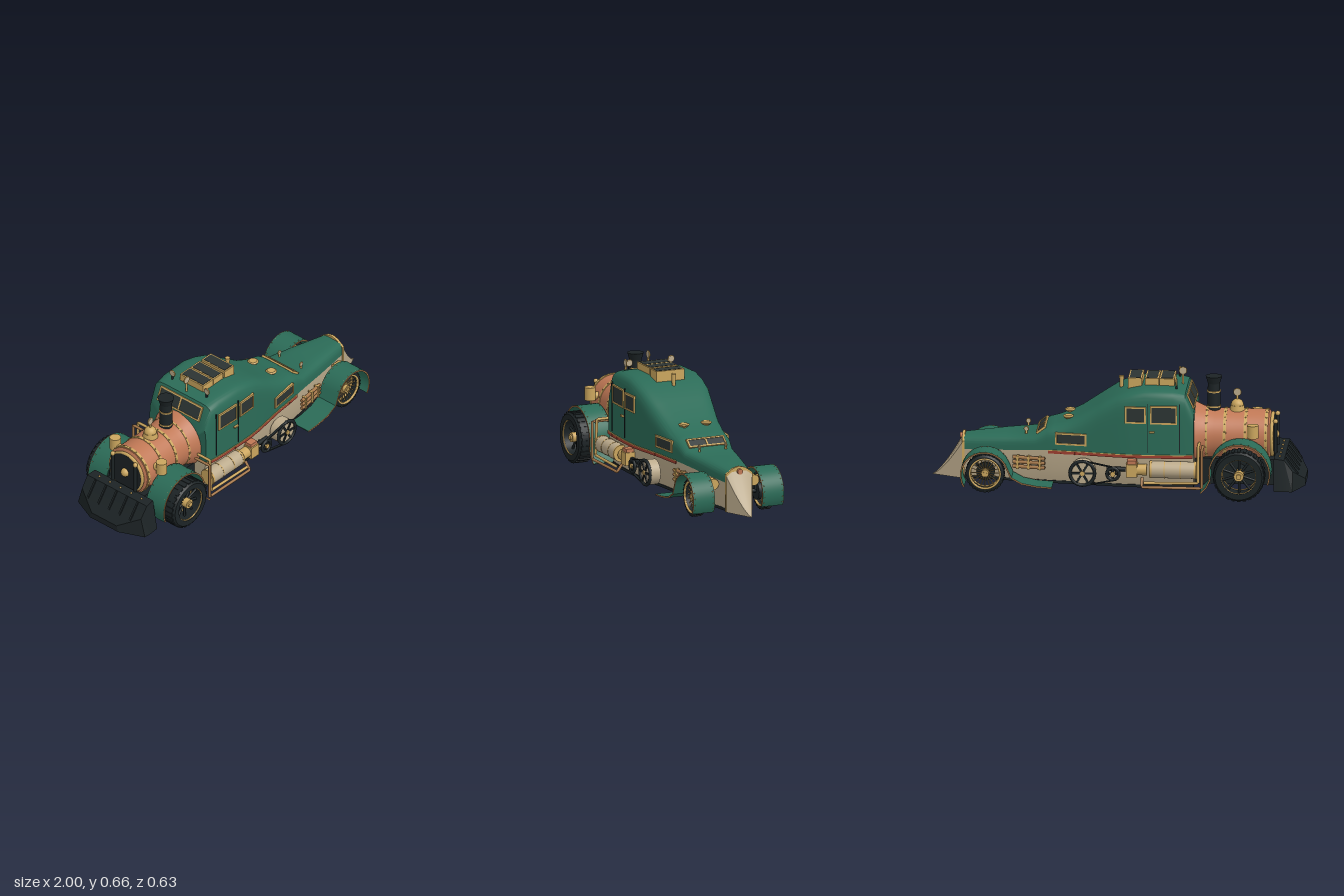
import * as THREE from 'three';
import { toCreasedNormals } from 'three/addons/utils/BufferGeometryUtils.js';

const mat = (name, color, side = THREE.FrontSide) => Object.assign(new THREE.MeshStandardMaterial({ color, side }), { name });
const green = mat('green paint', 0x2b6b57, THREE.DoubleSide), cream = mat('cream panel', 0xbcab8c, THREE.DoubleSide);
const gold = mat('brass', 0xcba65e), copper = mat('copper', 0xc07855), bronze = mat('bronze', 0xa5774a), dark = mat('dark iron', 0x1c2325);
const glass = mat('dark glass', 0x2c3433), red = mat('red trim', 0xa03f30);
const PI = Math.PI, AX = [0, 0, PI / 2], AZ = [PI / 2, 0, 0];

const box = (x, y, z) => new THREE.BoxGeometry(x, y, z);
const cyl = (r, h, r2 = r, n = 24) => new THREE.CylinderGeometry(r2, r, h, n);
const ball = (r, n = 16) => new THREE.SphereGeometry(r, n, n / 2 + 1);
const ring = (r, t) => new THREE.TorusGeometry(r, t, 8, 32);

// Skin through rings running from +z over the top to -z, with flat end caps
function loft(rings, crease = 0.6) {
  const pos = [], idx = [], m = rings[0].length;
  rings.forEach((r) => r.forEach((p) => pos.push(...p)));
  for (let i = 0; i < rings.length - 1; i++) for (let j = 0; j < m - 1; j++) {
    const a = i * m + j, b = a + m;
    idx.push(a, b, a + 1, b, b + 1, a + 1);
  }
  [rings[0], rings[rings.length - 1]].forEach((r, e) => {
    const o = pos.length / 3;
    pos.push(...r[0].map((v, k) => (v + r[m - 1][k]) / 2));
    r.forEach((p) => pos.push(...p));
    for (let j = 1; j < m; j++) e ? idx.push(o, o + j + 1, o + j) : idx.push(o, o + j, o + j + 1);
  });
  const g = new THREE.BufferGeometry();
  g.setAttribute('position', new THREE.Float32BufferAttribute(pos, 3));
  g.setIndex(idx);
  return toCreasedNormals(g, crease);
}

// Thin sheet following a side-view path, extruded across z
function sheet(pts, width, t = 0.006) {
  const inner = pts.map(([x, y], i) => {
    const a = pts[Math.max(0, i - 1)], b = pts[Math.min(pts.length - 1, i + 1)];
    const dx = b[0] - a[0], dy = b[1] - a[1], l = Math.hypot(dx, dy);
    return [x - dy / l * t, y + dx / l * t];
  });
  const s = new THREE.Shape([...pts, ...inner.reverse()].map((p) => new THREE.Vector2(...p)));
  return toCreasedNormals(new THREE.ExtrudeGeometry(s, { depth: width, bevelEnabled: false }).translate(0, 0, -width / 2), 0.6);
}
const arc = (cx, cy, r, a0, a1, n = 24) => Array.from({ length: n + 1 }, (_, i) => {
  const a = (a0 + (a1 - a0) * i / n) * PI / 180;
  return [cx + r * Math.cos(a), cy + r * Math.sin(a)];
});

// Body stations: x, roof height, half width, roundness exponent
const ST = [[-0.41, 0.46, 0.2, 0.24], [-0.365, 0.56, 0.208, 0.22], [-0.3, 0.575, 0.213, 0.22], [-0.15, 0.578, 0.216, 0.22],
  [-0.07, 0.561, 0.214, 0.23], [0, 0.538, 0.208, 0.25], [0.1, 0.477, 0.192, 0.32], [0.2, 0.414, 0.176, 0.4], [0.28, 0.375, 0.168, 0.42],
  [0.34, 0.354, 0.161, 0.4], [0.375, 0.345, 0.156, 0.38], [0.44, 0.299, 0.144, 0.42], [0.6, 0.29, 0.118, 0.5], [0.75, 0.276, 0.09, 0.55], [0.825, 0.268, 0.075, 0.55]];
// Paint line between the green and cream panels, dipping towards the nose
const belt = (x) => 0.227 - 0.06 * Math.max(0, x - 0.35);
function at(x, k) {
  let i = 0;
  while (i < ST.length - 2 && x > ST[i + 1][0]) i++;
  const a = ST[i], b = ST[i + 1];
  return a[k] + (b[k] - a[k]) * (x - a[0]) / (b[0] - a[0]);
}

export function createModel() {
  const model = new THREE.Group();
  const add = (name, geo, m, p = [0, 0, 0], r = [0, 0, 0], parent = model) => {
    const o = new THREE.Mesh(geo, m);
    o.name = name; o.position.set(...p); o.rotation.set(...r);
    parent.add(o);
  };
  const group = (name, p, r = [0, 0, 0]) => {
    const g = new THREE.Group();
    g.name = name; g.position.set(...p); g.rotation.set(...r);
    model.add(g);
    return g;
  };
  // Framed window lying in its group's xy plane, with optional mullion
  const windowAt = (name, w, h, p, r, split) => {
    const g = group(name, p, r), t = 0.009;
    add('pane', box(w, h, 0.006), glass, [0, 0, 0], [0, 0, 0], g);
    for (const s of [-1, 1]) {
      add('frameRail', box(w + t, t, 0.012), gold, [0, s * h / 2, 0], [0, 0, 0], g);
      add('framePost', box(t, h, 0.012), gold, [s * w / 2, 0, 0], [0, 0, 0], g);
    }
    if (split) add('mullion', box(t, h, 0.01), gold, [0, 0, 0], [0, 0, 0], g);
  };

  // Bodywork
  add('upperBody', loft(ST.map(([x, top, w, p]) => Array.from({ length: 41 }, (_, j) => {
    const a = PI * j / 40, c = Math.cos(a), y = belt(x);
    return [x, y + (top - y) * Math.pow(Math.max(0, Math.sin(a)), p), w * Math.sign(c) * Math.pow(Math.abs(c), p)];
  })), 0.8), green);
  add('lowerBody', loft(ST.map(([x, , w]) => [[0.84, 0.05], [0.96, 0.12], [0.985, belt(x)], [-0.985, belt(x)], [-0.96, 0.12], [-0.84, 0.05]]
    .map(([k, y]) => [x, y, k * w]))), cream);
  add('underTray', loft(ST.map(([x, , w]) => [[0.87, 0.04], [0.87, 0.055], [-0.87, 0.055], [-0.87, 0.04], [0.87, 0.04]]
    .map(([k, y]) => [x, y, k * w]))), dark);
  add('rearChassis', box(0.44, 0.14, 0.24), dark, [-0.63, 0.12, 0]);

  // Nose wedge and its brass surround
  add('nose', loft(Array.from({ length: 11 }, (_, i) => {
    const t = i / 10, w = 0.075 * (1 - t), h = 0.225 * Math.pow(1 - t, 1.4);
    return [[1, 0], [1, 0.88], [0.6, 0.98], [0, 1], [-0.6, 0.98], [-1, 0.88], [-1, 0], [1, 0]].map(([z, y]) => [0.832 + 0.168 * t, 0.038 + y * h, z * w]);
  }), 0.3), cream);
  const arch = [[0.078, 0.04], [0.078, 0.245], [0.035, 0.275], [0, 0.284], [-0.035, 0.275], [-0.078, 0.245], [-0.078, 0.04], [0.078, 0.04]];
  add('noseSurround', loft([0.82, 0.834].map((x) => arch.map(([z, y]) => [x, y, z]))), gold);
  add('noseBadge', cyl(0.015, 0.02), copper, [0.838, 0.256, 0], AX);

  // Windscreens, leaning back with the bodywork
  windowAt('windscreen', 0.21, 0.05, [0.41, 0.323, 0], [0, 0, 0], true);
  model.children.at(-1).rotation.set(-0.9, PI / 2, 0, 'YXZ');
  windowAt('rearWindow', 0.29, 0.075, [-0.39, 0.508, 0], [0, 0, 0], true);
  model.children.at(-1).rotation.set(-0.42, -PI / 2, 0, 'YXZ');

  // Boiler
  const prof = [[0, 0], [0.11, 0], [0.133, 0.012], [0.135, 0.3], [0.145, 0.36], [0.168, 0.41]].map((p) => new THREE.Vector2(...p));
  add('boiler', toCreasedNormals(new THREE.LatheGeometry(prof, 40), 0.6), copper, [-0.815, 0.298, 0], [0, 0, -PI / 2]);
  add('smokeboxDoor', cyl(0.112, 0.02), dark, [-0.82, 0.298, 0], AX);
  add('doorRing', ring(0.112, 0.01), gold, [-0.82, 0.298, 0], [0, PI / 2, 0]);
  add('doorHub', ball(0.025), gold, [-0.83, 0.298, 0]);
  for (const x of [-0.79, -0.68, -0.57, -0.47]) {
    const r = x > -0.5 ? 0.143 : 0.137;
    add('boilerBand', cyl(r, 0.016, r, 40), gold, [x, 0.298, 0], AX);
    for (let i = 0; i < 20; i++) {
      const a = i * PI / 10;
      add('rivet', ball(0.004, 6), gold, [x, 0.298 + r * Math.cos(a), r * Math.sin(a)]);
    }
  }
  add('chimney', cyl(0.036, 0.17, 0.032), dark, [-0.505, 0.51, 0]);
  add('chimneyFlare', cyl(0.032, 0.04, 0.044), dark, [-0.505, 0.592, 0]);
  for (const y of [0.448, 0.53]) add('chimneyBand', cyl(0.038, 0.008), gold, [-0.505, y, 0]);
  add('steamDome', cyl(0.042, 0.03, 0.036), gold, [-0.63, 0.44, 0]);
  add('steamDomeCap', ball(0.034), gold, [-0.63, 0.455, 0]);
  const gauge = (x, y, z, r, foot, turn, stem = dark) => {
    add('gaugeStem', cyl(0.006, y - foot - r), stem, [x, (y - r + foot) / 2, z]);
    add('gaugeRim', ring(r, 0.004), gold, [x, y, z], [0, turn, 0]);
    add('gaugeFace', cyl(r, 0.009), cream, [x, y, z], turn ? AX : AZ);
  };
  gauge(-0.63, 0.525, 0, 0.018, 0.48, 0, gold);
  gauge(-0.34, 0.637, 0, 0.018, 0.56, 0, gold);

  // Roof skylight boxes and whistle
  for (const [x, w] of [[-0.26, 0.08], [-0.18, 0.075], [-0.09, 0.075]]) {
    add('roofBox', box(w, 0.065, 0.165), gold, [x, 0.581, 0]);
    add('roofBoxPane', box(w - 0.016, 0.006, 0.149), glass, [x, 0.612, 0]);
  }
  add('whistle', cyl(0.009, 0.07, 0.013), gold, [-0.012, 0.568, 0]);

  // Plough
  add('plough', loft([[-1, 0.1, 0.08], [-0.94, 0.238, 0.15], [-0.895, 0.24, 0.212], [-0.84, 0.235, 0.218]].map(([x, z, y]) =>
    [[x, 0.045, z], [x, y, z * 0.88], [x, y, -z * 0.88], [x, 0.045, -z], [x, 0.045, z]]), 0.2), dark);
  for (let i = -2; i <= 2; i++) {
    add('ploughRib', box(0.11, 0.012, 0.01), dark, [-0.93, 0.168, i * 0.075], [0, 0, 0.93]);
    add('ploughBolt', ball(0.006, 8), gold, [-0.868, 0.218, i * 0.075]);
  }

  // Wheel: tyre, treads, rim, spokes and hub
  const wheel = (name, x, y, z, R, W, band, spokes, m, rs, rim) => {
    const g = group(name, [x, y, z]), q = R - band, h = W / 2;
    const pr = [[q, -h], [R - 0.014, -h], [R - 0.003, -h * 0.7], [R - 0.002, h * 0.7], [R - 0.014, h], [q, h], [q, -h]];
    add('tyre', toCreasedNormals(new THREE.LatheGeometry(pr.map((p) => new THREE.Vector2(...p)), 40), 0.5), dark, [0, 0, 0], AZ, g);
    for (let i = 0; i < 28; i++) {
      const a = i * PI / 14;
      add('tread', box(0.006, R * 0.12, W * 0.8), dark, [(R - 0.003) * Math.cos(a), (R - 0.003) * Math.sin(a), 0], [0, 0, a], g);
    }
    for (const s of [-1, 1]) add('rim', ring(q, rim), gold, [0, 0, s * h * 0.85], [0, 0, 0], g);
    for (let i = 0; i < spokes; i++) {
      const a = i * 2 * PI / spokes;
      add('spoke', cyl(rs, q, rs, 8), m, [-Math.sin(a) * q / 2, Math.cos(a) * q / 2, 0], [0, 0, a], g);
    }
    add('hub', cyl(R * 0.19, W * 0.8), gold, [0, 0, 0], AZ, g);
    add('hubCap', cyl(R * 0.1, W), gold, [0, 0, 0], AZ, g);
  };
  add('rearAxle', cyl(0.018, 0.5), dark, [-0.66, 0.143, 0], AZ);
  add('frontAxle', cyl(0.011, 0.36), dark, [0.7, 0.107, 0], AZ);

  const frontFender = [...arc(0.7, 0.107, 0.13, -30, 160), [0.555, 0.1], [0.5, 0.07], [0.42, 0.055], [0.34, 0.05]];
  const rearFender = [[-0.45, 0.04], [-0.48, 0.07], ...arc(-0.66, 0.145, 0.165, -12, 200)];
  const pipe = (pts) => {
    const c = new THREE.CurvePath();
    for (let i = 1; i < pts.length; i++) c.add(new THREE.LineCurve3(new THREE.Vector3(...pts[i - 1]), new THREE.Vector3(...pts[i])));
    return new THREE.TubeGeometry(c, 60, 0.008, 8);
  };

  for (const s of [1, -1]) {
    wheel('rearWheel', -0.66, 0.143, s * 0.27, 0.139, 0.09, 0.045, 10, dark, 0.007, 0.004);
    wheel('frontWheel', 0.7, 0.107, s * 0.2, 0.105, 0.05, 0.024, 20, gold, 0.0025, 0.006);
    add('brakeDrum', cyl(0.05, 0.02), dark, [0.7, 0.107, s * 0.165], AZ);
    // Fenders with bronze edges and brass rivets
    add('frontFender', sheet(frontFender, 0.122), green, [0, 0, s * 0.201]);
    add('rearFender', sheet(rearFender, 0.125), green, [0, 0, s * 0.205]);
    for (const z of [0.141, 0.263]) add('frontFenderEdge', sheet(frontFender, 0.003, 0.008), bronze, [0, 0, s * z]);
    add('rearFenderEdge', sheet(rearFender, 0.003, 0.008), bronze, [0, 0, s * 0.268]);
    for (const [cx, cy, r, z0] of [[0.7, 0.107, 0.13, 0.15], [-0.66, 0.145, 0.165, 0.152]]) for (const z of [z0, z0 + 0.105])
      for (const [x, y] of arc(cx, cy, r, -20, 150, 12)) add('fenderRivet', ball(0.0025, 6), gold, [x, y, s * z]);
    // Front suspension
    add('damper', cyl(0.008, 0.07), dark, [0.75, 0.16, s * 0.132]);
    add('drumLamp', cyl(0.03, 0.05), gold, [0.74, 0.18, s * 0.118], AX);
    // Side windows and door
    for (const [x0, x1, y0, y1] of [[-0.32, -0.185, 0.403, 0.495], [-0.155, -0.05, 0.405, 0.488], [0.165, 0.325, 0.265, 0.322]]) {
      const x = (x0 + x1) / 2, tilt = Math.atan((at(x0, 2) - at(x1, 2)) / (x1 - x0));
      windowAt('sideWindow', x1 - x0, y1 - y0, [x, (y0 + y1) / 2, s * (at(x, 2) + 0.0005)], [0, s * tilt, 0]);
    }
    for (const x of [-0.338, -0.168]) add('doorSeam', box(0.004, 0.27, 0.006), dark, [x, 0.375, s * at(x, 2)]);
    add('doorHandle', box(0.03, 0.008, 0.02), gold, [-0.19, 0.355, s * 0.217]);
    // Belt trim
    for (let i = 0; i < 11; i++) {
      const x = -0.37 + i * 0.07, tilt = s * Math.atan((at(x - 0.035, 2) - at(x + 0.035, 2)) / 0.07), z = s * at(x, 2);
      add('redStripe', box(0.073, 0.015, 0.008), red, [x, 0.217, z], [0, tilt, 0]);
      add('beltMoulding', box(0.073, 0.004, 0.009), gold, [x, 0.2265, z], [0, tilt, 0]);
    }
    // Pressure tank, pump and pipes
    add('tank', cyl(0.045, 0.24), cream, [-0.305, 0.152, s * 0.228], AX);
    for (const [x, w] of [[-0.424, 0.012], [-0.345, 0.005], [-0.26, 0.005], [-0.186, 0.012]]) add('tankBand', cyl(0.0465, w), gold, [x, 0.152, s * 0.228], AX);
    add('pump', cyl(0.03, 0.11), gold, [-0.11, 0.15, s * 0.228], AX);
    add('pumpBody', box(0.06, 0.07, 0.06), gold, [-0.085, 0.15, s * 0.232]);
    add('pumpCap', box(0.05, 0.02, 0.045), copper, [-0.085, 0.194, s * 0.232]);
    add('pumpShaft', cyl(0.012, 0.1), dark, [0, 0.15, s * 0.225], AX);
    add('drainPipe', pipe([[-0.46, 0.27, s * 0.17], [-0.46, 0.27, s * 0.272], [-0.46, 0.065, s * 0.272], [-0.14, 0.065, s * 0.272], [-0.14, 0.11, s * 0.24]]), bronze);
    add('feedPipe', pipe([[-0.44, 0.285, s * 0.17], [-0.44, 0.285, s * 0.255], [-0.44, 0.09, s * 0.262], [-0.15, 0.085, s * 0.262]]), gold);
    // Belt drive
    add('flywheelDrum', cyl(0.068, 0.06, 0.068, 32), cream, [0.178, 0.13, s * 0.222], AZ);
    for (const [x, r, n] of [[0.178, 0.066, 6], [0.015, 0.032, 4]]) {
      add('pulleyRim', ring(r, 0.009), dark, [x, 0.13, s * 0.253]);
      for (let i = 0; i < n / 2; i++) add('pulleySpoke', box(2 * r, 0.011, 0.01), dark, [x, 0.13, s * 0.253], [0, 0, i * 2 * PI / n]);
      add('pulleyHub', cyl(0.013, 0.024), gold, [x, 0.13, s * 0.252], AZ);
    }
    add('pulleyShaft', cyl(0.012, 0.1), dark, [0.015, 0.13, s * 0.21], AZ);
    for (const k of [1, -1]) add('driveBelt', box(0.166, 0.006, 0.014), dark, [0.097, 0.13 + k * 0.053, s * 0.253], [0, 0, k * 0.2]);
    // Exhaust manifold
    const mz = s * (at(0.47, 2) + 0.024), mt = s * 0.15;
    for (const y of [0.133, 0.158, 0.183]) add('manifoldBar', cyl(0.01, 0.175, 0.01, 12), bronze, [0.47, y, mz], [0, mt, PI / 2]);
    for (const dx of [-0.06, 0, 0.06]) add('manifoldClamp', box(0.012, 0.072, 0.026), gold, [0.47 + dx, 0.158, mz - dx * 0.15 * s], [0, mt, 0]);
    // Boiler side valves, rear posts, roof gauges, bonnet vents and markers
    add('sideValve', cyl(0.03, 0.07), gold, [-0.725, 0.355, s * 0.165]);
    add('sideValveMount', cyl(0.02, 0.08), gold, [-0.725, 0.34, s * 0.13], AZ);
    add('rearPost', cyl(0.009, 0.19), dark, [-0.84, 0.295, s * 0.08]);
    add('rearPostCap', ball(0.013), gold, [-0.84, 0.39, s * 0.08]);
    gauge(-0.315, 0.607, s * 0.122, 0.016, 0.55, PI / 2);
    add('ventStem', cyl(0.012, 0.04), gold, [0.265, 0.372, s * 0.065]);
    add('ventCap', cyl(0.022, 0.01, 0.03), gold, [0.265, 0.388, s * 0.065]);
    add('ventTop', cyl(0.03, 0.006, 0.022), gold, [0.265, 0.396, s * 0.065]);
    gauge(0.49, 0.32, s * 0.077, 0.01, 0.27, 0, gold);
  }
  return model;
}
